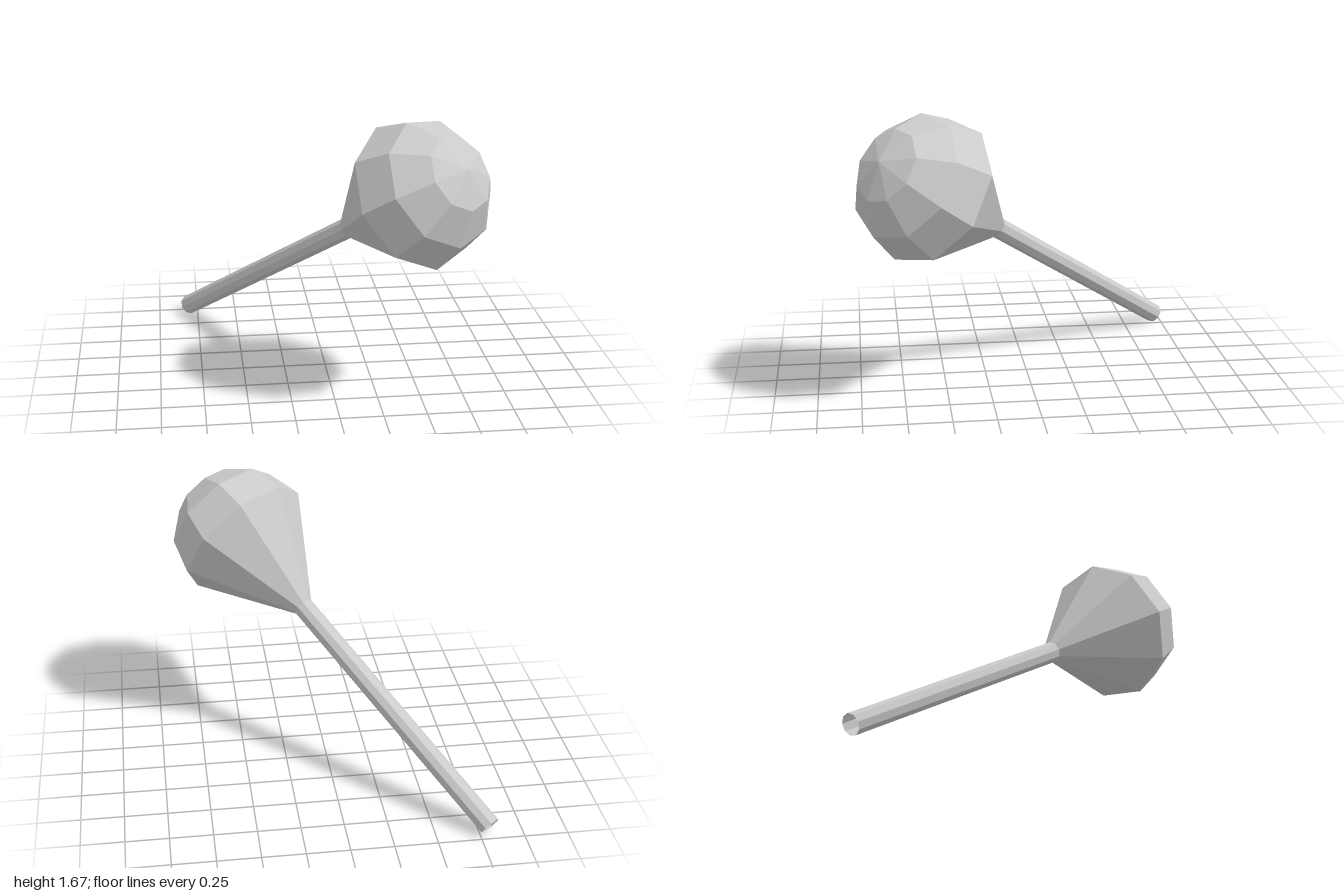
import * as THREE from 'three';

const SIDES = 9;
const HANDLE_R = 0.062;
const HEAD_R = 0.43;

export function createModel() {
  const group = new THREE.Group();
  group.name = 'mallet';
  const material = new THREE.MeshStandardMaterial({
    color: 0xcccccc, flatShading: true, side: THREE.DoubleSide,
  });

  // Tilted axis from the open end of the handle to the middle of the head
  const base = new THREE.Vector3(-0.805, 0.054, -0.953);
  const center = new THREE.Vector3(0.432, 1.25, 0.582);
  const length = base.distanceTo(center);
  const neck = length - 0.59;

  const axis = center.clone().sub(base).normalize();
  const corner = new THREE.Vector3(-0.357, 0.225, 0.098); // direction of one edge of the nonagon
  corner.addScaledVector(axis, -corner.dot(axis)).normalize();
  const across = new THREE.Vector3().crossVectors(axis, corner);

  function addLathe(name, points) {
    const profile = points.map(([r, y]) => new THREE.Vector2(r, y));
    const mesh = new THREE.Mesh(new THREE.LatheGeometry(profile, SIDES), material);
    mesh.name = name;
    group.add(mesh);
  }

  // Hollow stick, open at its lower end
  addLathe('handle', [[HANDLE_R, 0], [HANDLE_R, neck]]);

  // Cone widening from the neck, closed by a half-sphere in three steps
  const head = [[HANDLE_R, neck]];
  for (let i = 0; i <= 3; i++) {
    const a = (i * Math.PI) / 6;
    head.push([i === 3 ? 0 : HEAD_R * Math.cos(a), length + HEAD_R * Math.sin(a)]);
  }
  addLathe('head', head);

  group.quaternion.setFromRotationMatrix(new THREE.Matrix4().makeBasis(across, axis, corner));
  group.position.copy(base);

  const model = new THREE.Group();
  model.add(group);
  return model;
}
